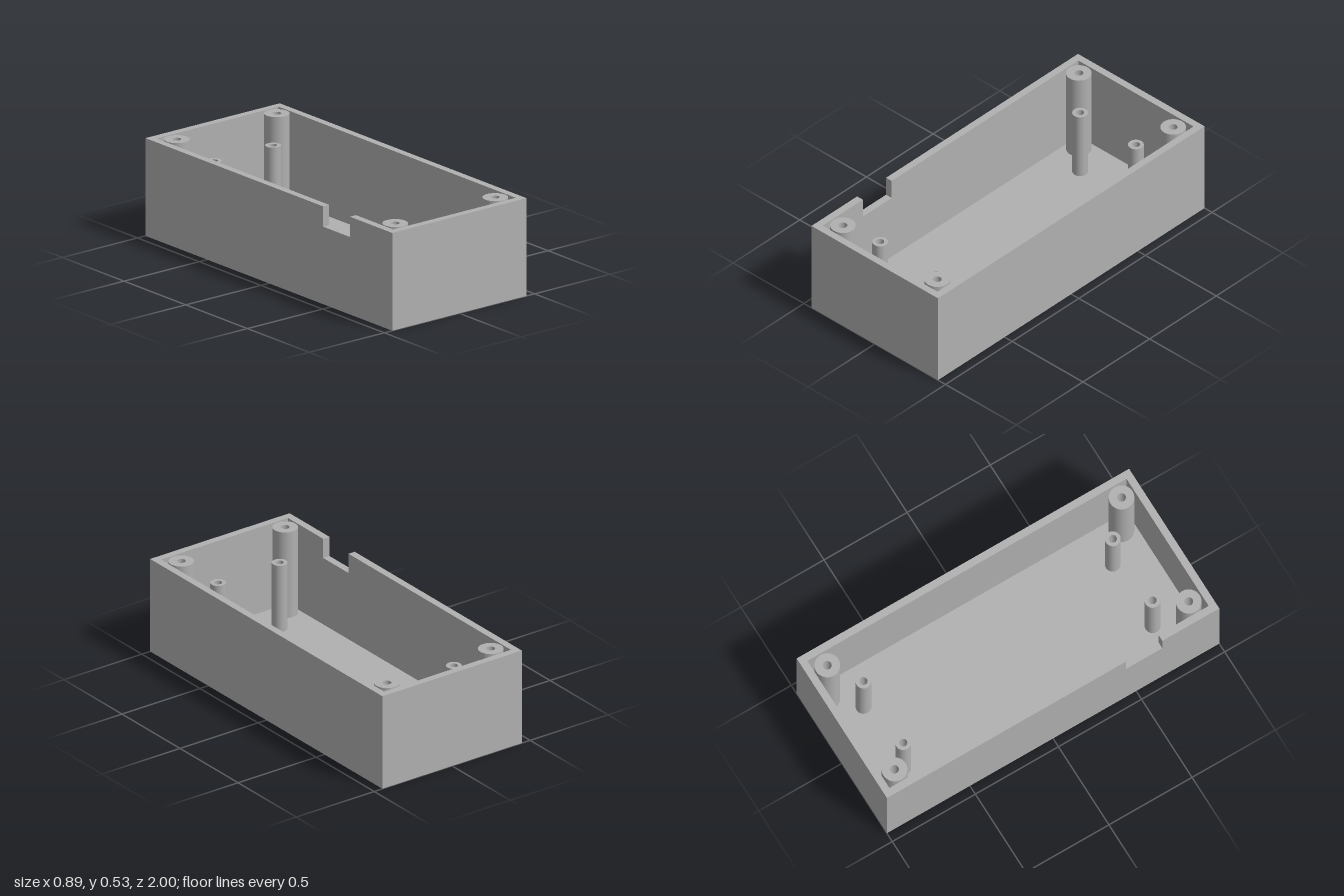
import * as THREE from 'three';
import { mergeGeometries } from 'three/addons/utils/BufferGeometryUtils.js';

const W = 0.447, L = 1, H = 0.53;      // half width, half length, height
const WALL = 0.04, FLOOR = 0.04;
const NOTCH = { y: 0.42, z0: 0.44, z1: 0.657 };
const SEGMENTS = 48;

// Outline in plan: shape (x, -z), extruded upward from y0 to y1
function plan(points, holes, y0, y1) {
  const toV = ([x, z]) => new THREE.Vector2(x, -z);
  const shape = new THREE.Shape(points.map(toV));
  shape.holes.push(...holes);
  const geo = new THREE.ExtrudeGeometry(shape, {
    depth: y1 - y0, bevelEnabled: false, curveSegments: SEGMENTS,
  });
  return geo.rotateX(-Math.PI / 2).translate(0, y0, 0);
}

const rect = (w, l) => [[-w, l], [w, l], [w, -l], [-w, -l]];

// Tube with crisp rims: outer wall, top ring, bore
function tube(radius, bore, y0, y1) {
  const profile = [[radius, y0], [radius, y1], [bore, y1], [bore, y0]]
    .map(([r, y]) => new THREE.Vector2(r, y));
  return mergeGeometries([0, 1, 2].map(
    (i) => new THREE.LatheGeometry(profile.slice(i, i + 2), SEGMENTS)));
}

export function createModel() {
  const model = new THREE.Group();
  model.name = 'enclosureBase';
  const grey = new THREE.MeshStandardMaterial({ color: 0xb0b0b0 });
  grey.name = 'grey';

  const add = (name, geometry, x = 0, z = 0) => {
    const mesh = new THREE.Mesh(geometry, grey);
    mesh.name = name;
    mesh.position.set(x, 0, z);
    model.add(mesh);
  };

  const post = { x: 0.333, z: 0.885, radius: 0.066, bore: 0.023 };
  const standoff = { x: 0.197, z: 0.75, radius: 0.041, bore: 0.021, top: 0.42 };
  const corners = [[-1, -1], [1, -1], [-1, 1], [1, 1]];

  // Floor with four screw holes
  const screwHoles = corners.map(([sx, sz]) =>
    new THREE.Path().absarc(sx * post.x, -sz * post.z, post.bore, 0, Math.PI * 2, true));
  add('floor', plan(rect(W, L), screwHoles, 0, FLOOR));

  // Walls: closed ring below the notch, open ring beside it
  const iw = W - WALL, il = L - WALL;
  const inner = new THREE.Path(rect(iw, il).map(([x, z]) => new THREE.Vector2(x, -z)));
  add('lowerWalls', plan(rect(W, L), [inner], FLOOR, NOTCH.y));
  add('upperWalls', plan([
    [-W, NOTCH.z1], [-W, L], [W, L], [W, -L], [-W, -L], [-W, NOTCH.z0],
    [-iw, NOTCH.z0], [-iw, -il], [iw, -il], [iw, il], [-iw, il], [-iw, NOTCH.z1],
  ], [], NOTCH.y, H));

  // Tall screw posts in the corners and shorter board standoffs
  const postGeo = tube(post.radius, post.bore, FLOOR, H);
  const standoffGeo = tube(standoff.radius, standoff.bore, FLOOR, standoff.top);
  for (const [sx, sz] of corners) {
    add('screwPost', postGeo, sx * post.x, sz * post.z);
    add('boardStandoff', standoffGeo, sx * standoff.x, sz * standoff.z);
  }
  return model;
}
